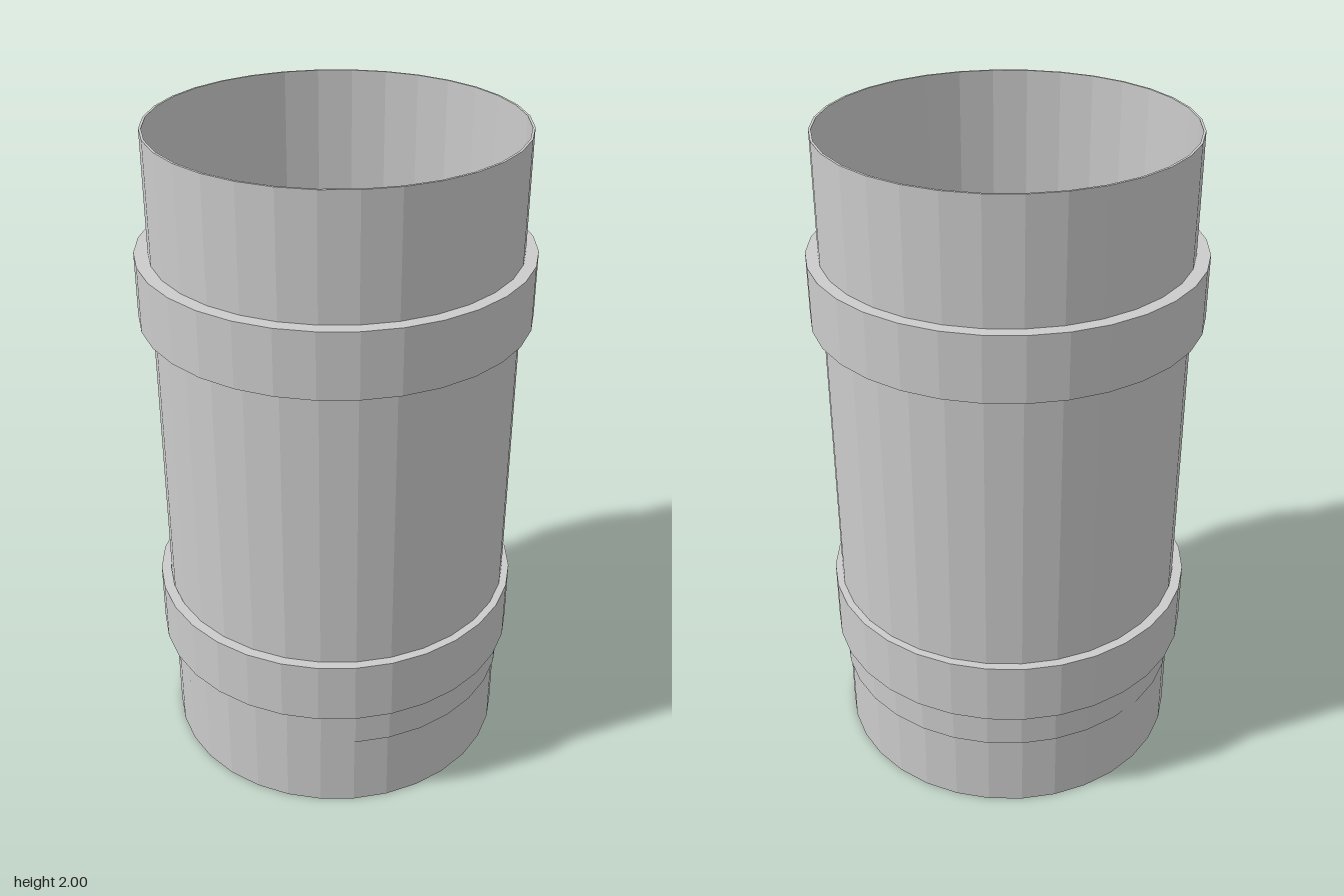
import * as THREE from 'three';

const SIDES = 32;

export function createModel() {
  const group = new THREE.Group();
  const material = new THREE.MeshStandardMaterial({
    color: 0xcccccc, flatShading: true, side: THREE.DoubleSide,
  });

  // Revolves a [radius, height] outline around the vertical axis
  function turned(name, outline, x = 0, z = 0) {
    const points = outline.map(([r, y]) => new THREE.Vector2(r, y));
    const mesh = new THREE.Mesh(new THREE.LatheGeometry(points, SIDES), material);
    mesh.name = name;
    mesh.position.set(x, 0, z);
    group.add(mesh);
  }

  // Closed hollow sleeve with a rectangular wall section
  const sleeve = (outer, inner, bottom, top) => [
    [outer, bottom], [outer, top], [inner, top], [inner, bottom], [outer, bottom],
  ];

  // Open-topped body tube
  turned('bodyTube', sleeve(0.537, 0.53, 0.24, 2));

  // Solid plug that closes the bottom of the tube
  turned('base', [[0, 0], [0.533, 0], [0.533, 0.3], [0, 0.3]], -0.003, 0.001);

  // Raised bands around the body
  turned('lowerBand', sleeve(0.564, 0.533, 0.36, 0.555), -0.005, 0.002);
  turned('upperBand', sleeve(0.575, 0.533, 1.45, 1.645), -0.002, 0.001);

  return group;
}
